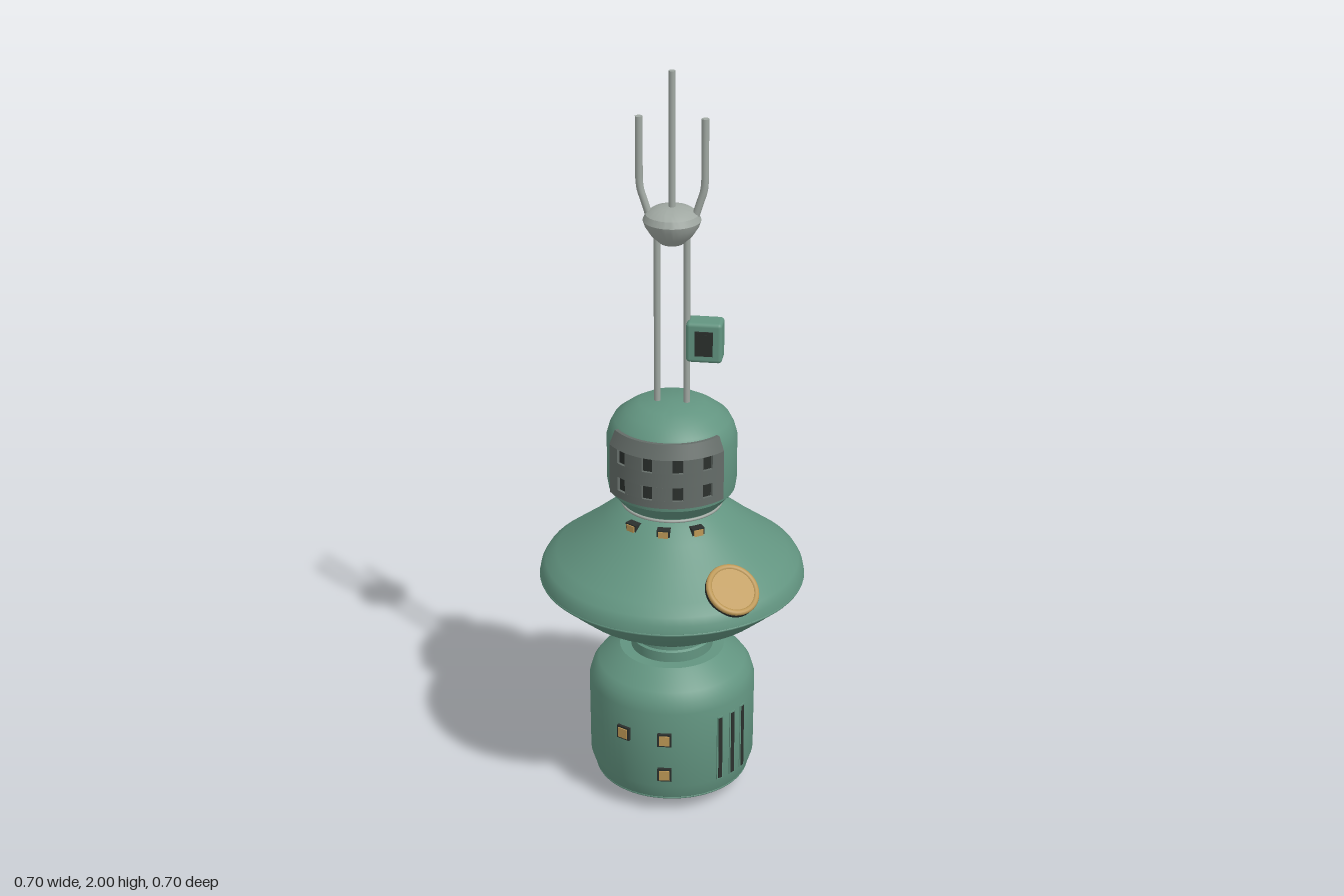
import * as THREE from 'three';
import { toCreasedNormals } from 'three/addons/utils/BufferGeometryUtils.js';
import { RoundedBoxGeometry } from 'three/addons/geometries/RoundedBoxGeometry.js';

const paint = (name, color) => Object.assign(new THREE.MeshStandardMaterial({ color }), { name });
const rad = THREE.MathUtils.degToRad;

export function createModel() {
  const green = paint('hull green', 0x629480);
  const grey = paint('antenna grey', 0xa0a8a2);
  const slate = paint('panel slate', 0x646c68);
  const gold = paint('lamp gold', 0xbd9856);
  const dark = paint('dark trim', 0x2b302d);
  const model = new THREE.Group();
  model.name = 'spaceStation';

  const add = (name, geometry, material, parent = model) => {
    const mesh = new THREE.Mesh(geometry, material);
    mesh.name = name;
    parent.add(mesh);
    return mesh;
  };
  // Turned part from [radius, height] pairs, listed bottom to top
  const turned = (name, points, material) => {
    const profile = points.map(([r, y]) => new THREE.Vector2(r, y));
    return add(name, toCreasedNormals(new THREE.LatheGeometry(profile, 64), 0.5), material);
  };
  // Block wrapped around the vertical axis; the top may taper inward
  const curvedBlock = (name, r0, r1, y0, y1, a0, a1, material, parent, topInset = 0) => {
    const g = new THREE.BoxGeometry(1, 1, 1, Math.max(2, Math.ceil((a1 - a0) / 5)), 1, 1);
    const p = g.attributes.position;
    for (let i = 0; i < p.count; i++) {
      const a = rad(a0 + (p.getX(i) + 0.5) * (a1 - a0));
      const top = p.getY(i) > 0;
      const r = (p.getZ(i) > 0 ? r1 : r0) - (top ? topInset : 0);
      p.setXYZ(i, r * Math.sin(a), top ? y1 : y0, r * Math.cos(a));
    }
    g.computeVertexNormals();
    return add(name, g, material, parent);
  };
  // Group sitting on the hull at an angle around it, facing outward
  const mount = (name, angle, r, y, tilt = 0) => {
    const group = new THREE.Group();
    group.name = name;
    group.rotation.set(-tilt, rad(angle), 0, 'YXZ');
    group.position.set(r * Math.sin(rad(angle)), y, r * Math.cos(rad(angle)));
    model.add(group);
    return group;
  };

  // Main hull sections
  turned('baseModule', [[0, 0], [0.125, 0], [0.2, 0.045], [0.208, 0.052], [0.222, 0.095],
    [0.223, 0.32], [0.214, 0.35], [0.198, 0.372], [0.14, 0.413], [0, 0.415]], green);
  turned('lowerNeck', [[0.11, 0.4], [0.11, 0.442], [0.104, 0.446], [0.104, 0.456], [0.11, 0.46], [0.11, 0.5]], green);
  turned('saucer', [[0, 0.48], [0.11, 0.48], [0.19, 0.508], [0.265, 0.556], [0.315, 0.6], [0.343, 0.63],
    [0.35, 0.637], [0.346, 0.658], [0.335, 0.677], [0.305, 0.7], [0.24, 0.75], [0.18, 0.8], [0.145, 0.83], [0.13, 0.84], [0, 0.84]], green);
  turned('upperNeck', [[0.125, 0.83], [0.125, 0.86]], green);
  turned('headModule', [[0, 0.852], [0.133, 0.852], [0.165, 0.89], [0.169, 0.915], [0.169, 1.035],
    [0.162, 1.06], [0.15, 1.083], [0.12, 1.106], [0.085, 1.126], [0, 1.128]], green);

  // Thin seam rings
  for (const [name, r, y, material] of [['baseSeam', 0.204, 0.049, green], ['saucerSeam', 0.347, 0.634, green],
    ['neckSeam', 0.13, 0.845, grey]]) {
    const ring = add(name, new THREE.TorusGeometry(r, 0.004, 8, 64), material);
    ring.rotation.x = Math.PI / 2;
    ring.position.y = y;
  }

  // Curved viewing panel: rows and posts around recessed windows
  const panel = new THREE.Group();
  panel.name = 'viewingPanel';
  model.add(panel);
  curvedBlock('windowBacking', 0.15, 0.1705, 0.915, 1.045, -54, 54, dark, panel);
  const rows = [[0.905, 0.926], [0.964, 1.003], [1.041, 1.078]];
  rows.forEach(([y0, y1], i) =>
    curvedBlock('panelRow', 0.15, 0.178, y0, y1, -56, 56, slate, panel, i === 2 ? 0.016 : 0));
  const posts = [[-56, -43.5], [-34.5, -17.5], [-8.5, 8.5], [17.5, 34.5], [43.5, 56]];
  for (const [y0, y1] of [[0.926, 0.964], [1.003, 1.041]])
    for (const [a0, a1] of posts) curvedBlock('panelPost', 0.15, 0.178, y0, y1, a0, a1, slate, panel);

  // Small lamp: dark housing with a gold face
  const lamp = (name, angle, r, y, w, h, depth) => {
    const g = mount(name, angle, r, y);
    add('lampHousing', new THREE.BoxGeometry(w, h, depth), dark, g);
    add('lampFace', new THREE.BoxGeometry(w * 0.74, h * 0.74, 0.006), gold, g).position.z = depth / 2;
  };
  for (const a of [-33, 0, 33]) lamp('neckLamp', a, 0.147, 0.821, 0.034, 0.024, 0.03);
  for (const [a, y] of [[-26.5, 0.243], [3, 0.243], [3, 0.135]]) lamp('baseWindow', a, 0.22, y, 0.038, 0.038, 0.02);

  // Vent slots on the base
  for (const a of [43, 54, 65]) {
    const g = mount('ventSlot', a, 0.222, 0.193);
    add('ventFrame', new THREE.BoxGeometry(0.02, 0.195, 0.006), green, g);
    add('ventOpening', new THREE.BoxGeometry(0.012, 0.187, 0.009), dark, g);
  }

  // Round lamp lying on the saucer slope
  const port = mount('roundPort', 39, 0.288, 0.7, rad(52));
  const drum = add('portHousing', new THREE.CylinderGeometry(0.07, 0.07, 0.04, 40), dark, port);
  drum.rotation.x = Math.PI / 2;
  add('portRim', new THREE.TorusGeometry(0.064, 0.008, 10, 40), gold, port).position.z = 0.02;
  const glass = add('portFace', new THREE.CylinderGeometry(0.062, 0.062, 0.008, 40), gold, port);
  glass.rotation.x = Math.PI / 2;
  glass.position.z = 0.02;

  // Mast, receiver bowl and antennas
  const rod = (name, x, y0, y1, r) =>
    add(name, new THREE.CylinderGeometry(r, r, y1 - y0, 14), grey).position.set(x, (y0 + y1) / 2, 0);
  turned('receiverBowl', [[0, 1.558], [0.03, 1.56], [0.052, 1.58], [0.068, 1.605], [0.073, 1.62],
    [0.066, 1.636], [0.05, 1.647], [0.028, 1.653], [0, 1.655]], grey);
  rod('centreAntenna', 0, 1.64, 2, 0.0085);
  for (const s of [-1, 1]) {
    rod('mastRod', s * 0.038, 1.11, 1.59, 0.0085);
    const path = new THREE.CurvePath();
    const v = (x, y) => new THREE.Vector3(s * x, y, 0);
    path.add(new THREE.LineCurve3(v(0.055, 1.62), v(0.074, 1.68)));
    path.add(new THREE.QuadraticBezierCurve3(v(0.074, 1.68), v(0.082, 1.7), v(0.082, 1.73)));
    path.add(new THREE.LineCurve3(v(0.082, 1.73), v(0.082, 1.883)));
    add('sideAntenna', new THREE.TubeGeometry(path, 30, 0.0095, 12), grey);
    const cap = add('antennaTip', new THREE.CircleGeometry(0.0095, 12), grey);
    cap.rotation.x = -Math.PI / 2;
    cap.position.set(s * 0.082, 1.883, 0);
  }

  // Instrument box on the mast
  add('instrumentBox', new RoundedBoxGeometry(0.092, 0.108, 0.062, 3, 0.01), green).position.set(0.085, 1.303, 0);
  add('instrumentFrame', new THREE.BoxGeometry(0.046, 0.066, 0.008), dark).position.set(0.085, 1.303, 0.031);
  add('instrumentScreen', new THREE.BoxGeometry(0.03, 0.05, 0.004), dark).position.set(0.085, 1.303, 0.034);

  return model;
}
